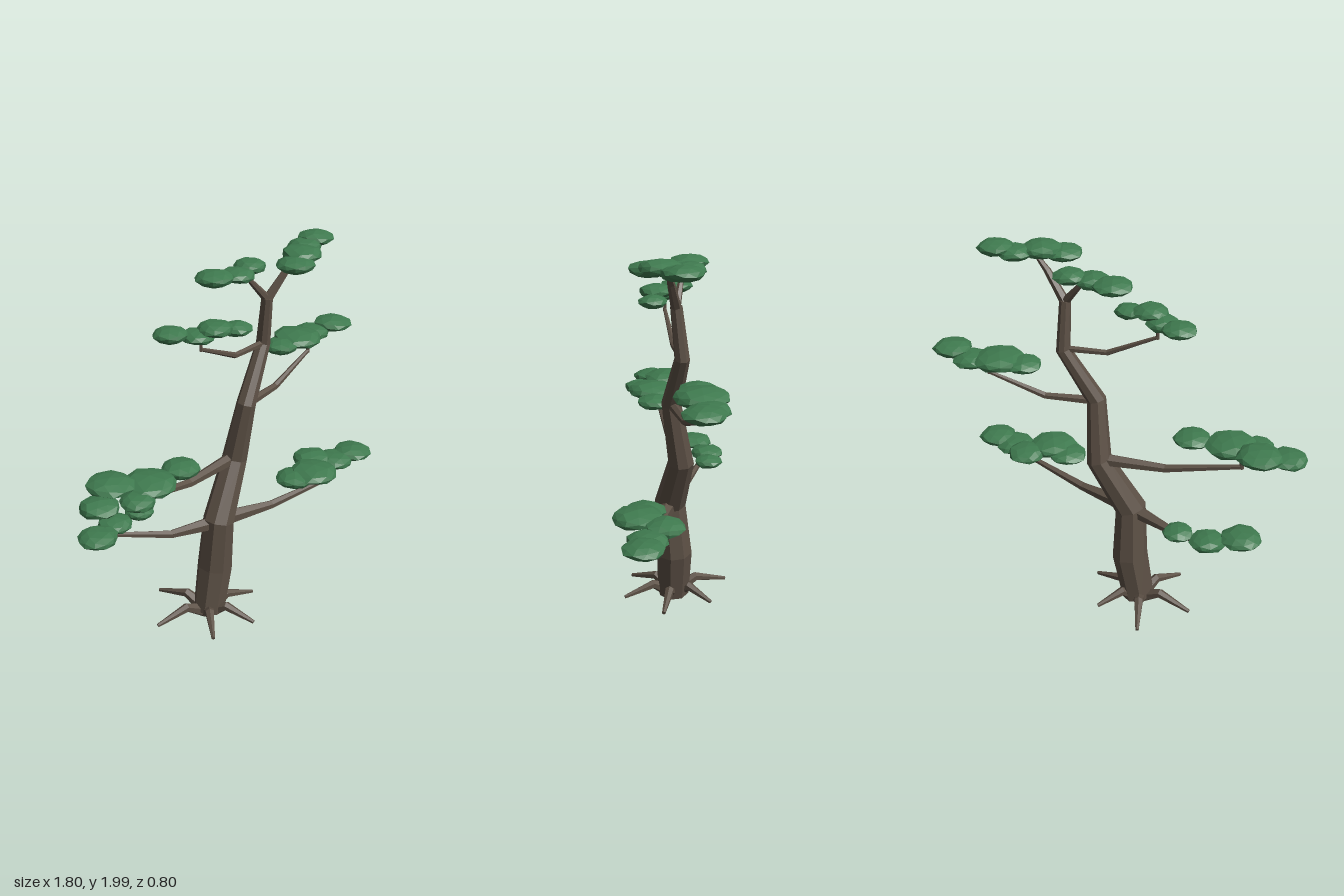
import * as THREE from 'three';

const bark = new THREE.MeshStandardMaterial({ color: 0x5c5045, flatShading: true });
const leaf = new THREE.MeshStandardMaterial({ color: 0x3f7a4f, flatShading: true });

// Tapered limb through points [x, y, z, radius], with capped ends
function limb(name, points, sides) {
  const p = points.map(([x, y, z]) => new THREE.Vector3(x, y, z));
  const pos = [], index = [], last = p.length - 1;
  const dir = (i) => p[Math.min(i + 1, last)].clone().sub(p[Math.max(i - 1, 0)]).normalize();
  const ref = Math.abs(p[last].clone().sub(p[0]).normalize().y) > 0.8
    ? new THREE.Vector3(0, 0, 1) : new THREE.Vector3(0, 1, 0);
  let u = ref;
  p.forEach((c, i) => {
    const t = dir(i);
    u = u.clone().addScaledVector(t, -u.dot(t)).normalize();
    const v = t.clone().cross(u);
    for (let s = 0; s < sides; s++) {
      const a = (s / sides) * Math.PI * 2, r = points[i][3];
      const q = c.clone().addScaledVector(u, Math.cos(a) * r).addScaledVector(v, Math.sin(a) * r);
      pos.push(q.x, q.y, q.z);
      if (i < last) {
        const n = (s + 1) % sides, A = i * sides + s, B = i * sides + n;
        index.push(A, B, B + sides, A, B + sides, A + sides);
      }
    }
  });
  const cap = pos.length / 3;
  pos.push(...p[0].toArray(), ...p[last].toArray());
  for (let s = 0; s < sides; s++) {
    const n = (s + 1) % sides;
    index.push(cap, n, s, cap + 1, last * sides + s, last * sides + n);
  }
  const g = new THREE.BufferGeometry();
  g.setAttribute('position', new THREE.Float32BufferAttribute(pos, 3));
  g.setIndex(index);
  g.computeVertexNormals();
  const mesh = new THREE.Mesh(g, bark);
  mesh.name = name;
  return mesh;
}

// Cluster of flattened, slightly uneven leaf pads [x, y, z, radius]
function foliage(name, pads) {
  const group = new THREE.Group();
  group.name = name;
  pads.forEach(([x, y, z, r], k) => {
    const g = new THREE.IcosahedronGeometry(1, 1);
    const a = g.attributes.position;
    for (let i = 0; i < a.count; i++) {
      const X = a.getX(i), Y = a.getY(i), Z = a.getZ(i);
      const f = 1 + 0.06 * Math.sin(5 * X + 7 * Y + 4 * Z + k * 2);
      a.setXYZ(i, X * f, Y * f, Z * f);
    }
    g.computeVertexNormals();
    const pad = new THREE.Mesh(g, leaf);
    pad.name = 'leafPad';
    pad.scale.set(r, 0.022 + r * 0.14, r);
    pad.rotation.y = k * 1.3;
    pad.position.set(x, y, z);
    group.add(pad);
  });
  return group;
}

export function createModel() {
  const tree = new THREE.Group();
  tree.name = 'tree';

  tree.add(limb('trunk', [
    [-0.125, 0.06, 0.015, 0.085], [-0.08, 0.32, 0, 0.094], [-0.067, 0.61, 0.02, 0.082],
    [0.072, 0.9, -0.065, 0.066], [0.115, 1.22, -0.025, 0.05],
    [0.253, 1.49, -0.105, 0.037], [0.255, 1.74, -0.077, 0.029],
  ], 8));

  // Roots arch up out of the base, then slope down to thin tips
  const tips = [[-0.44, 0.04], [-0.3, -0.24], [-0.02, -0.21], [0.145, 0.01], [0.02, 0.25], [-0.23, 0.27]];
  const roots = new THREE.Group();
  roots.name = 'roots';
  for (const [x, z] of tips) {
    const at = (t, y, r) => [-0.135 + (x + 0.135) * t, y, 0.015 + (z - 0.015) * t, r];
    roots.add(limb('root', [at(0, 0.045, 0.042), at(0.42, 0.115, 0.025), at(1, 0.07, 0.01)], 6));
  }
  tree.add(roots);

  // Each bough: its limb path and the leaf pads it carries
  const boughs = [
    ['lowerRight',
      [[-0.08, 0.6, 0.02, 0.04], [-0.33, 0.59, 0, 0.022], [-0.605, 0.645, -0.05, 0.013]], 0.68,
      [[-0.45, 0.7, -0.115, 0.075], [-0.6, 0.695, -0.08, 0.09], [-0.73, 0.71, 0.02, 0.1]]],
    ['lowerLeft',
      [[-0.07, 0.61, 0.02, 0.045], [0.25, 0.61, 0.02, 0.023], [0.597, 0.665, 0.01, 0.013]], 0.74,
      [[0.37, 0.755, 0.05, 0.1], [0.48, 0.77, 0.06, 0.125], [0.67, 0.75, -0.03, 0.1],
        [0.79, 0.762, -0.04, 0.1], [0.55, 0.765, -0.08, 0.1]]],
    ['middleRight',
      [[0.05, 0.905, -0.06, 0.035], [-0.25, 0.905, 0.06, 0.023], [-0.605, 0.98, 0.2, 0.013]], 1.05,
      [[-0.34, 1.065, 0.16, 0.095], [-0.53, 1.07, 0.22, 0.13], [-0.63, 1.05, 0.31, 0.085],
        [-0.71, 1.09, 0.18, 0.115], [-0.81, 1.06, 0.29, 0.095]]],
    ['middleLeft',
      [[0.12, 1.215, -0.03, 0.025], [0.35, 1.215, -0.14, 0.018], [0.615, 1.315, -0.255, 0.01]], 1.38,
      [[0.42, 1.4, -0.21, 0.09], [0.54, 1.41, -0.25, 0.13], [0.67, 1.395, -0.31, 0.095],
        [0.8, 1.418, -0.31, 0.1]]],
    ['upperRight',
      [[0.25, 1.495, -0.1, 0.018], [0.05, 1.5, -0.02, 0.015], [-0.18, 1.615, 0.07, 0.009]], 1.68,
      [[-0.32, 1.705, 0.04, 0.083], [-0.2, 1.69, 0.08, 0.08], [-0.12, 1.72, 0.1, 0.085],
        [0, 1.692, 0.09, 0.072]]],
  ];
  for (const [name, path, top, pads] of boughs) {
    const [x, y, z, r] = path[path.length - 1];
    const bough = new THREE.Group();
    bough.name = name + 'Bough';
    bough.add(limb('branch', path, 6));
    bough.add(limb('twig', [[x, y - 0.01, z, r * 0.9], [x, top, z, r * 0.8]], 6));
    bough.add(foliage('foliage', pads));
    tree.add(bough);
  }

  // Forked crown
  tree.add(limb('crownFork', [[0.255, 1.735, -0.077, 0.022], [0.18, 1.82, -0.08, 0.015], [0.12, 1.89, -0.08, 0.008]], 6));
  tree.add(limb('crownFork', [[0.255, 1.73, -0.077, 0.026], [0.36, 1.865, -0.075, 0.018], [0.43, 1.93, -0.075, 0.01]], 6));
  tree.add(foliage('crownRightFoliage', [
    [-0.03, 1.888, -0.08, 0.095], [0.09, 1.885, -0.075, 0.085], [0.185, 1.9, -0.125, 0.08],
  ]));
  tree.add(foliage('crownLeftFoliage', [
    [0.345, 1.925, 0.03, 0.095], [0.42, 1.95, -0.04, 0.1], [0.5, 1.945, -0.14, 0.085], [0.585, 1.963, -0.18, 0.09],
  ]));
  return tree;
}
